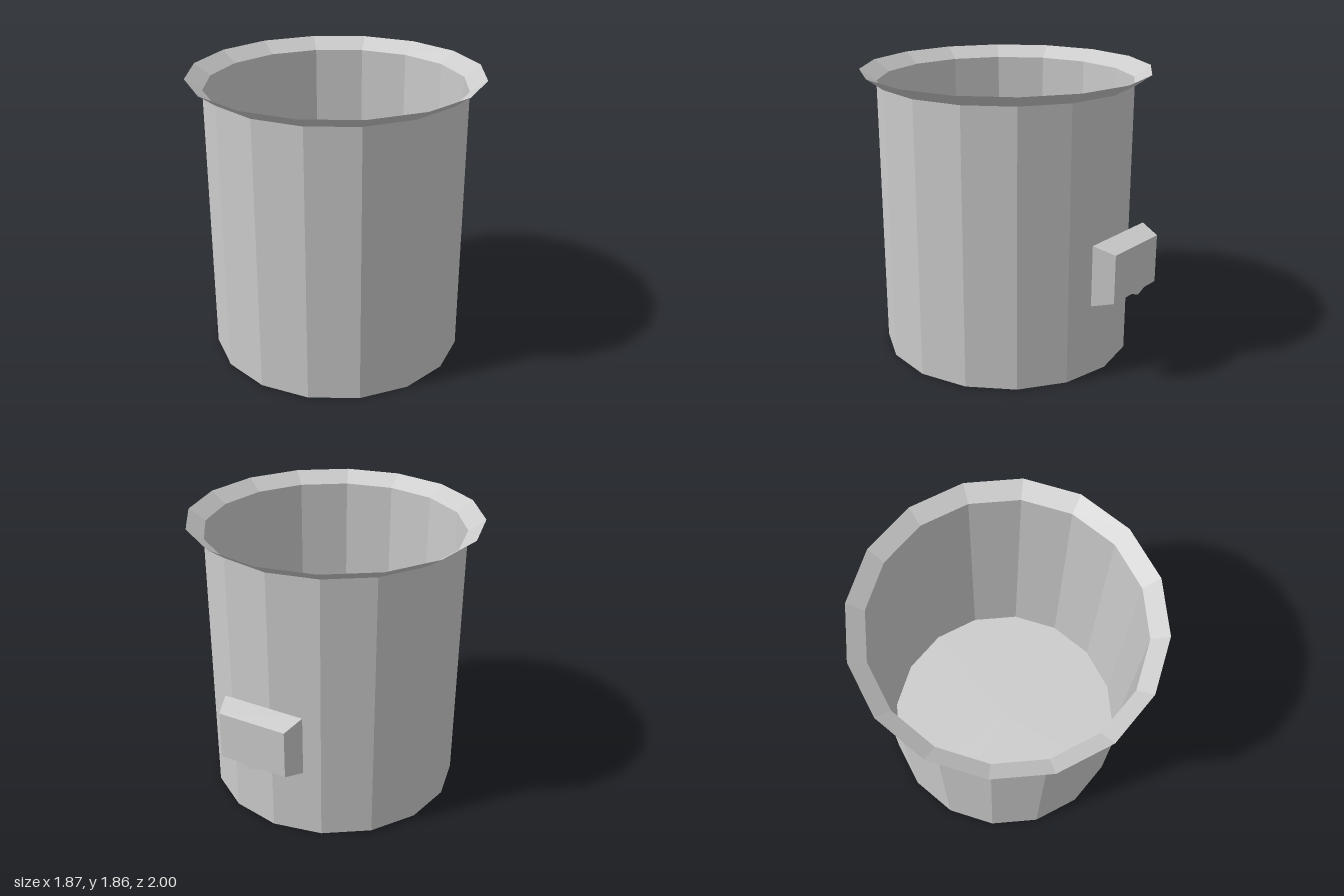
import * as THREE from 'three';

const SIDES = 16;
const CENTER_Z = 0.06;

export function createModel() {
  const group = new THREE.Group();
  const material = new THREE.MeshStandardMaterial({
    color: 0xcccccc, flatShading: true, side: THREE.DoubleSide,
  });

  const add = (name, geometry, x, y, z) => {
    const mesh = new THREE.Mesh(geometry, material);
    mesh.name = name;
    mesh.position.set(x, y, z);
    group.add(mesh);
    return mesh;
  };
  const lathe = (points) =>
    new THREE.LatheGeometry(points.map(([r, y]) => new THREE.Vector2(r, y)), SIDES);

  // Open thin-walled vessel: floor and straight wall
  add('body', lathe([[0, 0], [0.83, 0], [0.83, 1.785]]), 0, 0, CENTER_Z);

  // Flared lip around the opening
  add('rim', lathe([[0.83, 1.785], [0.935, 1.86]]), 0, 0, CENTER_Z);

  // Block behind the body, tapering towards the back
  const block = new THREE.BoxGeometry(0.54, 0.39, 0.135);
  const p = block.attributes.position;
  for (let i = 0; i < p.count; i++) {
    if (p.getZ(i) < 0) p.setXY(i, p.getX(i) * 0.833, p.getY(i) * 0.795);
  }
  block.computeVertexNormals();
  add('backBlock', block, 0, 0.745, -0.91);

  // Flat octagonal disc just off the block's back face
  const disc = add('backDisc', new THREE.CircleGeometry(0.165, 8), 0, 0.745, -1);
  disc.rotation.y = Math.PI;

  return group;
}
